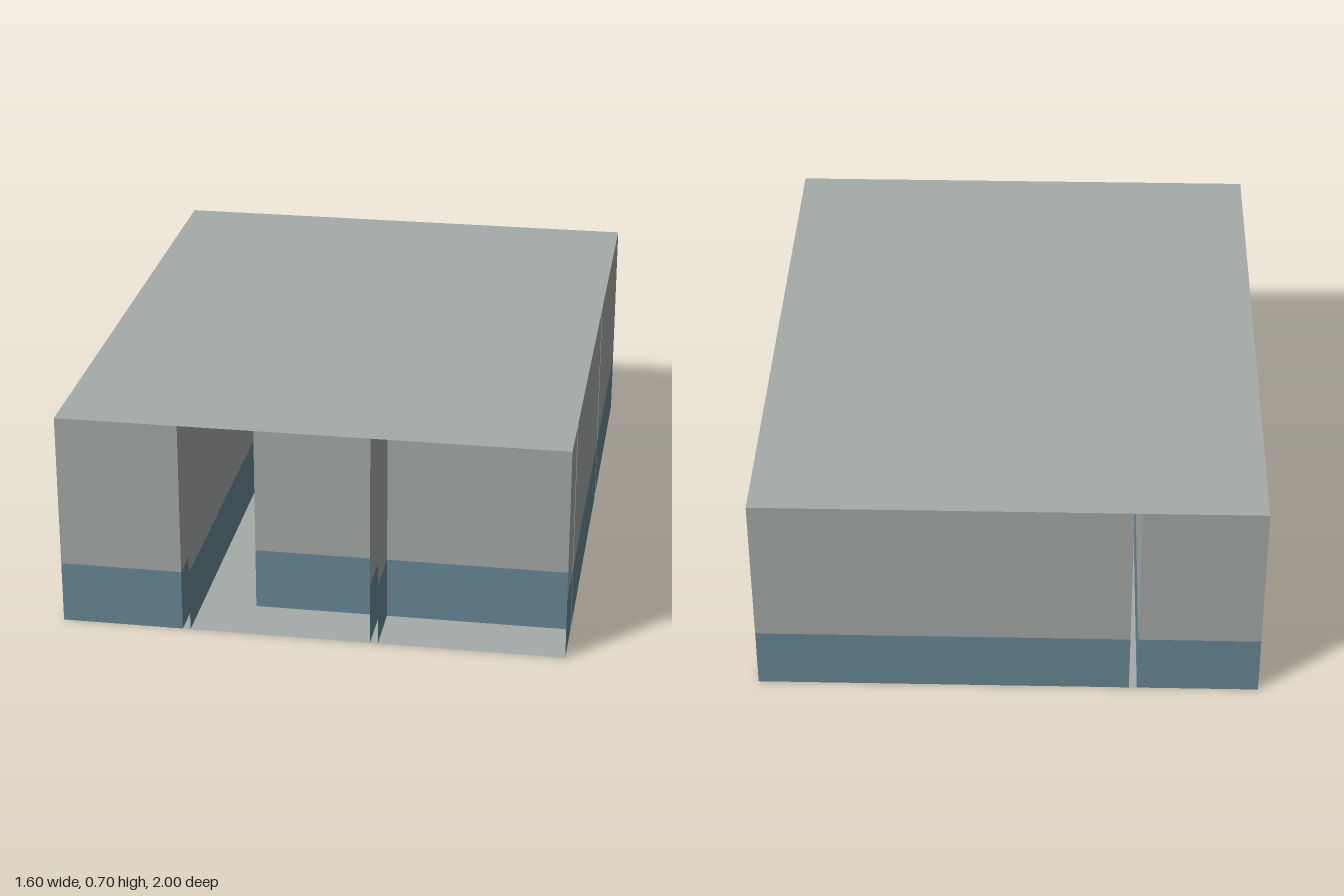
import * as THREE from 'three';

const HEIGHT = 0.7, DADO = 0.2, G = 0.0125; // G = half the cavity between rooms

const grey = new THREE.MeshStandardMaterial({ color: 0xa5aba8, side: THREE.DoubleSide });
grey.name = 'warm grey';
const blue = new THREE.MeshStandardMaterial({ color: 0x688896, side: THREE.DoubleSide });
blue.name = 'slate blue';

// Thin wall sheets following a floor-plan path of [x, z] points.
function wallStrip(name, path, y0, y1, material) {
  const pos = [];
  for (let i = 0; i < path.length - 1; i++) {
    const [ax, az] = path[i], [bx, bz] = path[i + 1];
    pos.push(ax, y0, az, bx, y0, bz, bx, y1, bz, ax, y0, az, bx, y1, bz, ax, y1, az);
  }
  const geo = new THREE.BufferGeometry();
  geo.setAttribute('position', new THREE.Float32BufferAttribute(pos, 3));
  geo.computeVertexNormals();
  const mesh = new THREE.Mesh(geo, material);
  mesh.name = name;
  return mesh;
}

// Each room has a blue lower band and a grey upper wall.
function room(name, path) {
  const group = new THREE.Group();
  group.name = name;
  group.add(wallStrip('lowerWall', path, 0, DADO, blue));
  group.add(wallStrip('upperWall', path, DADO, HEIGHT, grey));
  return group;
}

function slab(name, y) {
  const geo = new THREE.PlaneGeometry(1.6, 2);
  geo.rotateX(y > 0 ? -Math.PI / 2 : Math.PI / 2);
  const mesh = new THREE.Mesh(geo, grey);
  mesh.name = name;
  mesh.position.y = y;
  return mesh;
}

export function createModel() {
  const model = new THREE.Group();
  model.name = 'floorPlanBuilding';
  model.add(slab('floor', 0), slab('ceiling', HEIGHT));

  // Two rooms open along the -x side
  model.add(room('backSideRoom', [[-0.8, -1], [-0.4 - G, -1], [-0.4 - G, -0.2 - G], [-0.8, -0.2 - G]]));
  model.add(room('frontSideRoom', [[-0.8, -0.2 + G], [-0.4 - G, -0.2 + G], [-0.4 - G, 1], [-0.8, 1]]));

  // Entrance, corridor and back hall form one continuous space open at the front
  model.add(room('entranceAndHall', [
    [-0.4 + G, 1], [-0.4 + G, -1], [0.8, -1], [0.8, -0.2 - G], [-0.2 - G, -0.2 - G],
    [-0.2 - G, 0.8 + G], [0.2 - G, 0.8 + G], [0.2 - G, 1],
  ]));

  // Shallow niche open at the front
  model.add(room('frontNiche', [[0.2 + G, 1], [0.2 + G, 0.8 + G], [0.8, 0.8 + G], [0.8, 1]]));

  // Enclosed middle room
  model.add(room('middleRoom', [
    [-0.2 + G, -0.2 + G], [0.8, -0.2 + G], [0.8, 0.8 - G], [-0.2 + G, 0.8 - G], [-0.2 + G, -0.2 + G],
  ]));
  return model;
}
